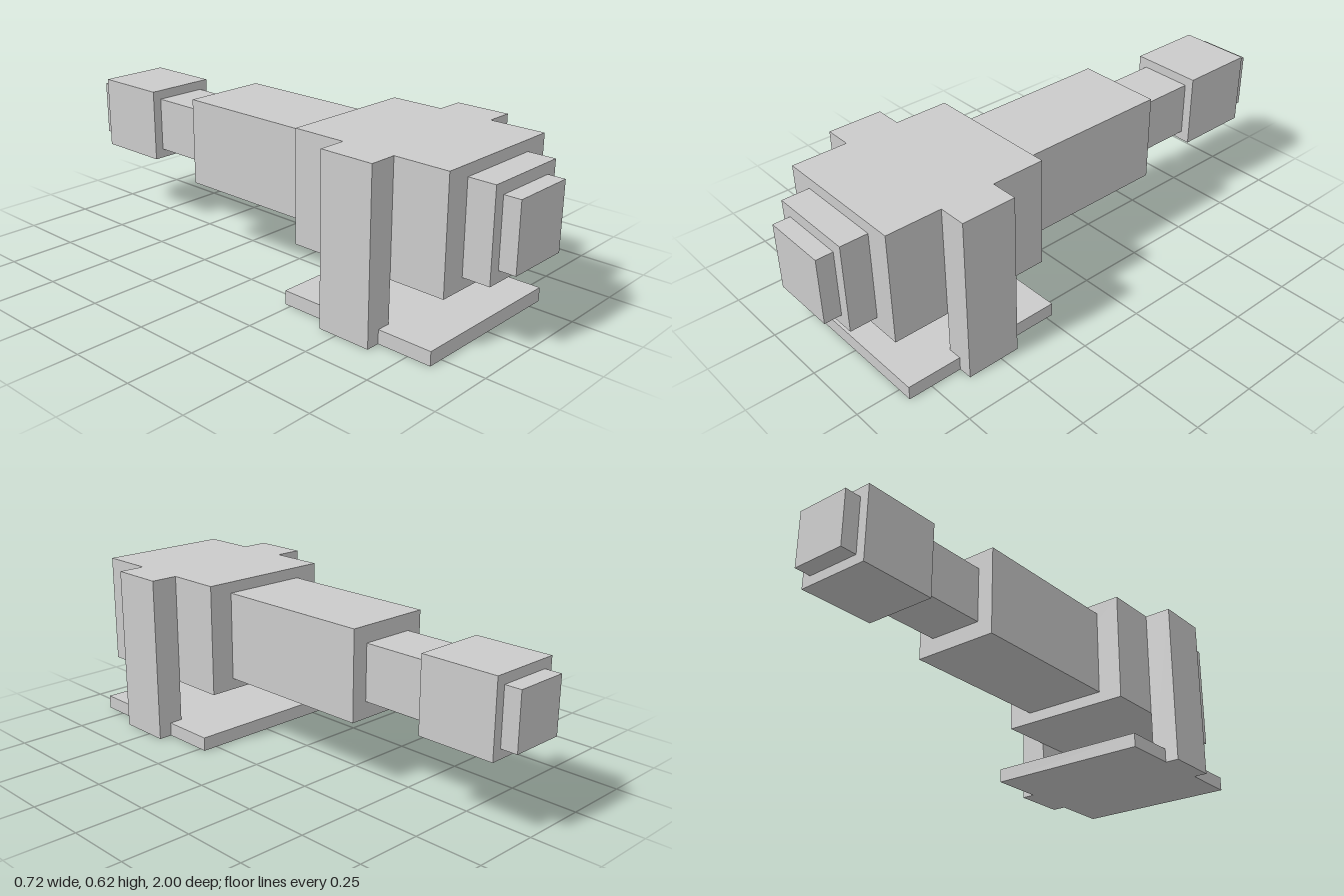
import * as THREE from 'three';

export function createModel() {
  const group = new THREE.Group();
  const material = new THREE.MeshStandardMaterial({ color: 0xcccccc, flatShading: true });

  // Box given by its extents on each axis
  function block(name, [x0, x1], [y0, y1], [z0, z1]) {
    const mesh = new THREE.Mesh(new THREE.BoxGeometry(x1 - x0, y1 - y0, z1 - z0), material);
    mesh.position.set((x0 + x1) / 2, (y0 + y1) / 2, (z0 + z1) / 2);
    mesh.name = name;
    group.add(mesh);
  }

  // Square section of the gun, centred on the barrel axis
  const axisY = 0.411;
  const section = (name, half, z) =>
    block(name, [-half, half], [axisY - half, axisY + half], z);

  // Mount: base plate and two upright supports
  block('basePlate', [-0.307, 0.307], [0, 0.051], [0.225, 0.838]);
  block('leftSupport', [0.256, 0.358], [0, 0.615], [0.429, 0.633]);
  block('rightSupport', [-0.358, -0.256], [0, 0.615], [0.429, 0.633]);

  // Gun body, from the front cap to the muzzle at the back
  block('housing', [-0.256, 0.256], [0.206, 0.615], [0.225, 0.838]);
  section('frontCap', 0.122, [0.938, 1]);
  section('breech', 0.163, [0.838, 0.938]);
  section('barrelSleeve', 0.163, [-0.389, 0.225]);
  section('barrel', 0.102, [-0.65, -0.389]);
  section('muzzle', 0.137, [-0.939, -0.65]);
  section('muzzleTip', 0.102, [-1, -0.939]);

  return group;
}
